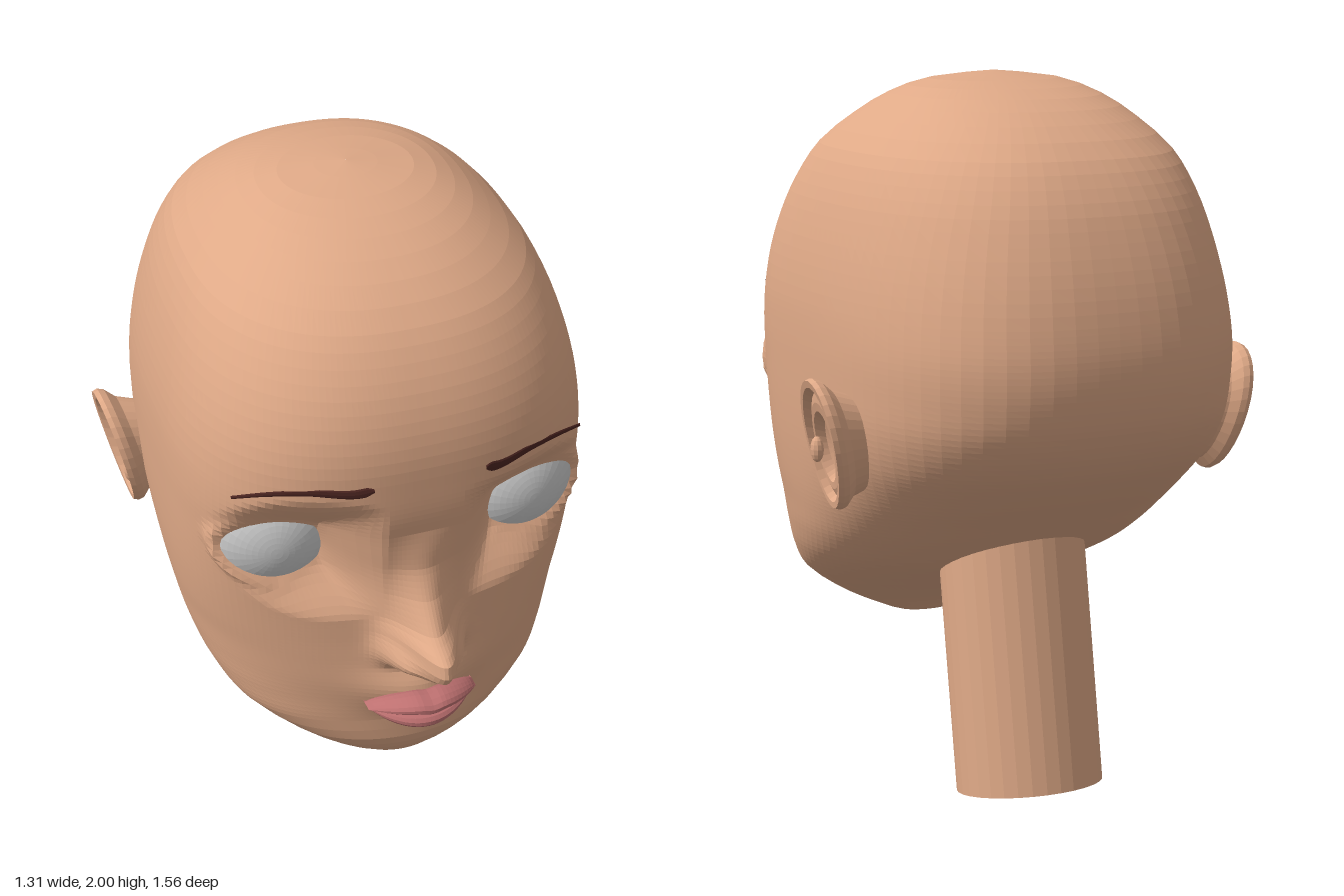
import * as THREE from 'three';

const paint = (color, side = THREE.FrontSide) => new THREE.MeshStandardMaterial({ color, side, flatShading: true });
const skin = paint(0xdfa987), openSkin = paint(0xdfa987, THREE.DoubleSide);
const lipPink = paint(0xbd7070), browBrown = paint(0x4a2420), grey = paint(0xcccccc);
const { smoothstep, lerp, clamp } = THREE.MathUtils;
const V = (x, y, z) => new THREE.Vector3(x, y, z);

// Skin over a list of closed rings with equal point counts
function loft(rings) {
  const n = rings[0].length, pos = [], idx = [];
  rings.forEach((r) => r.forEach((p) => pos.push(p.x, p.y, p.z)));
  for (let i = 0; i < rings.length - 1; i++) {
    for (let j = 0; j < n; j++) {
      const a = i * n + j, b = i * n + (j + 1) % n;
      idx.push(a, b, a + n, b, b + n, a + n);
    }
  }
  const g = new THREE.BufferGeometry();
  g.setAttribute('position', new THREE.Float32BufferAttribute(pos, 3));
  g.setIndex(idx);
  g.computeVertexNormals();
  return g;
}

function part(parent, name, geometry, material) {
  const m = new THREE.Mesh(geometry, material);
  m.name = name;
  parent.add(m);
  return m;
}

// A part on the model's left and its mirror image on the right
function pair(parent, name, geometry, material) {
  part(parent, 'left' + name, geometry, material);
  const g = geometry.clone().scale(-1, 1, 1), ix = g.index.array;
  for (let i = 0; i < ix.length; i += 3) [ix[i], ix[i + 1]] = [ix[i + 1], ix[i]];
  g.computeVertexNormals();
  part(parent, 'right' + name, g, material);
}

// Head slices: height, front z, back z, half width, z of widest point, squareness
const SLICES = [
  [0.363, 0.411, 0.409, 0.001, 0.41, 2], [0.375, 0.465, 0.355, 0.09, 0.41, 2],
  [0.40, 0.49, 0.32, 0.15, 0.40, 2], [0.44, 0.52, 0.26, 0.23, 0.37, 2],
  [0.50, 0.545, 0.14, 0.33, 0.32, 2], [0.58, 0.545, -0.03, 0.435, 0.25, 2.05],
  [0.66, 0.55, -0.20, 0.49, 0.17, 2.1], [0.74, 0.56, -0.33, 0.52, 0.11, 2.15],
  [0.82, 0.56, -0.44, 0.537, 0.08, 2.25], [0.90, 0.555, -0.55, 0.55, 0.08, 2.35],
  [1.00, 0.55, -0.665, 0.56, 0.08, 2.5], [1.10, 0.555, -0.735, 0.565, 0.08, 2.6],
  [1.20, 0.575, -0.768, 0.567, 0.08, 2.6], [1.30, 0.595, -0.776, 0.567, 0.08, 2.6],
  [1.40, 0.60, -0.765, 0.562, 0.08, 2.55], [1.50, 0.598, -0.742, 0.548, 0.07, 2.5],
  [1.60, 0.577, -0.707, 0.525, 0.05, 2.45], [1.70, 0.533, -0.66, 0.492, 0.02, 2.4],
  [1.80, 0.46, -0.585, 0.44, -0.01, 2.35], [1.88, 0.36, -0.48, 0.36, -0.04, 2.25],
  [1.94, 0.24, -0.36, 0.28, -0.05, 2.15], [1.98, 0.11, -0.21, 0.18, -0.05, 2],
  [2.00, -0.049, -0.051, 0.001, -0.05, 2],
];

// Nose height above the face, by y
const NOSE = [[0.79, 0], [0.815, 0.07], [0.84, 0.155], [0.87, 0.205], [0.9, 0.225], [0.94, 0.22],
  [0.97, 0.145], [1.05, 0.08], [1.13, 0.035], [1.25, 0]];
function noseAt(y) {
  for (let i = 1; i < NOSE.length; i++) {
    const [y0, a] = NOSE[i - 1], [y1, b] = NOSE[i];
    if (y >= y0 && y < y1) return lerp(a, b, (y - y0) / (y1 - y0));
  }
  return 0;
}

const EYE = V(0.335, 1.172, 0.25), EYE_R = 0.21;
const bump = (d, w) => Math.exp(-((d / w) ** 2));

// Eyelids, nose and mouth shaped into the plain head surface
function sculpt(p) {
  const side = p.x < 0 ? -1 : 1, ax = Math.abs(p.x);
  const d = V(ax, p.y, p.z).sub(EYE), r = d.length();
  d.divideScalar(r);
  if (d.z > 0) {
    const u = Math.atan2(d.x, d.z) - 0.13, v = Math.asin(d.y) - 0.07 * u;
    const f = (Math.abs(u / 0.74) ** 1.8 + Math.abs(v / 0.45) ** 1.8) ** (1 / 1.8);
    const lid = EYE_R + clamp((f - 1) * 0.13, -0.03, 0.02);
    const pull = (1 - smoothstep(f, 1.08, 1.5)) * smoothstep(ax, 0.1, 0.19);
    d.multiplyScalar(lerp(r, lid, pull)).add(EYE);
    p.set(d.x * side, d.y, d.z);
  }
  if (p.z > 0.3) {
    const { x, y } = p;
    p.z += noseAt(y) * bump(x, 0.078)
      + 0.05 * bump(ax - 0.085, 0.035) * bump(y - 0.865, 0.04)
      + 0.055 * bump(x, 0.14) * bump(y - 0.71, 0.085);
  }
  return p;
}

function headGeometry() {
  const rings = [], HALF = 72;
  const at = (i) => SLICES[clamp(i, 0, SLICES.length - 1)];
  for (let k = 0; k < SLICES.length - 1; k++) {
    const y0 = at(k)[0], fine = y0 > 0.73 && y0 < 0.95 ? 0.014 : y0 > 0.55 && y0 < 1.35 ? 0.018 : 0.04;
    const steps = Math.max(2, Math.ceil((at(k + 1)[0] - y0) / fine));
    for (let s = 0; s < steps + (k === SLICES.length - 2 ? 1 : 0); s++) {
      const t = s / steps;
      const [y, zf, zb, a, zc, square] = at(k).map((b, c) => {
        const A = at(k - 1)[c], C = at(k + 1)[c], D = at(k + 2)[c];
        return b + 0.5 * t * (C - A + t * (2 * A - 5 * b + 4 * C - D + t * (3 * (b - C) + D - A)));
      });
      const ring = [];
      for (let j = -HALF; j < HALF; j++) {
        // Points gather towards the face; the back is a little squarer
        const u = Math.abs(j) / HALF, q = Math.sign(j) * Math.PI * (0.45 * u + 0.55 * u ** 2.2);
        const sn = Math.sin(q), cs = Math.cos(q);
        const n = cs > 0 ? square : 2 + 1.35 * (square - 2), b = cs > 0 ? zf - zc : zc - zb;
        const r = (Math.abs(sn / a) ** n + Math.abs(cs / b) ** n) ** (-1 / n);
        ring.push(sculpt(V(r * sn, y, zc + r * cs)));
      }
      rings.push(ring);
    }
  }
  return loft(rings);
}

// Tapered strip running along x: centre and radii given for t from 0 to 1
function strip(steps, sides, section) {
  const rings = [];
  for (let i = 0; i <= steps; i++) {
    const { c, ry, rz } = section(i / steps), ring = [];
    for (let j = 0; j < sides; j++) {
      const q = (j / sides) * Math.PI * 2;
      ring.push(V(c.x, c.y + ry * Math.cos(q), c.z + rz * Math.sin(q)));
    }
    rings.push(ring);
  }
  return loft(rings);
}

function lip(up, ry, rz, z) {
  return strip(24, 14, (t) => {
    const u = t * 2 - 1, k = Math.max(0.03, (1 - u * u) ** 0.75);
    const bow = up > 0 ? 0.006 * bump(u, 0.15) : 0;
    return { c: V(0.155 * u, 0.675 + up * k - bow, z - 0.065 * u * u), ry: ry * k, rz: rz * (0.35 + 0.65 * k) };
  });
}

// Point of the ear at angle q, size s and outward offset o; inner rings slide towards the face
function earPoint(q, s, o, slide) {
  const y = 1.06 + 0.18 * s * Math.sin(q) - 0.5 * slide;
  const z = -0.28 - 0.118 * s * Math.cos(q) * (1 + 0.12 * Math.sin(q)) - 0.06 * (y - 1.06) + slide;
  return V(0.609 + 0.21 * (y - 1.06) + 0.05 * (-0.28 - z) + o, y, z);
}

function earGeometry() {
  // Root, back, rim, groove, inner fold and bowl: size, outward offset, slide
  const profile = [[0.72, -0.1, 0], [0.82, -0.05, 0], [0.97, -0.025, 0], [1, -0.008, 0], [0.97, 0.006, 0],
    [0.87, 0.004, 0.004], [0.8, -0.018, 0.008], [0.66, -0.012, 0.016], [0.54, -0.014, 0.024],
    [0.44, -0.04, 0.028], [0.2, -0.05, 0.03], [0.002, -0.05, 0.03]];
  return loft(profile.map((ring) =>
    Array.from({ length: 32 }, (_, j) => earPoint((j / 32) * Math.PI * 2, ...ring))));
}

export function createModel() {
  const model = new THREE.Group();
  model.name = 'head';

  part(model, 'skullAndFace', headGeometry(), skin);

  // Open neck tube leaning forward towards the head
  const tube = new THREE.CylinderGeometry(0.207, 0.207, 0.85, 32, 1, true).translate(0, 0.425, 0).scale(1, 1, 0.93);
  const neck = part(model, 'neck', tube, openSkin);
  neck.position.set(0, 0.033, -0.283);
  neck.rotation.x = 0.175;

  // Eyes: front caps of two balls
  const eye = new THREE.SphereGeometry(EYE_R, 28, 12, 0, Math.PI * 2, 0, 0.95)
    .rotateX(Math.PI / 2).rotateY(0.13).translate(EYE.x, EYE.y, EYE.z);
  pair(model, 'Eye', eye, grey);

  // Eyebrows: thick inner end, thin outer end
  const browLine = new THREE.CatmullRomCurve3([V(0.15, 1.44, 0.612), V(0.2, 1.428, 0.595),
    V(0.3, 1.427, 0.553), V(0.4, 1.412, 0.503), V(0.48, 1.385, 0.452)]);
  pair(model, 'Eyebrow', strip(20, 8, (t) => ({
    c: browLine.getPoint(t), ry: 0.017 * Math.sqrt(Math.min(1, t * 8 + 0.1)) * (1 - 0.75 * t), rz: 0.004,
  })), browBrown);

  // Ears with the small flap in front of the bowl
  pair(model, 'Ear', earGeometry(), skin);
  const flap = new THREE.SphereGeometry(1, 10, 8).scale(0.018, 0.035, 0.02).translate(0.59, 1.03, -0.195);
  pair(model, 'EarFlap', flap, skin);

  // Mouth
  part(model, 'upperLip', lip(0.036, 0.025, 0.047, 0.64), lipPink);
  part(model, 'lowerLip', lip(-0.034, 0.026, 0.042, 0.62), lipPink);
  part(model, 'teeth', strip(12, 8, (t) => {
    const u = t * 2 - 1;
    return { c: V(0.11 * u, 0.677, 0.61 - 0.035 * u * u), ry: 0.02, rz: 0.035 };
  }), grey);

  return model;
}
